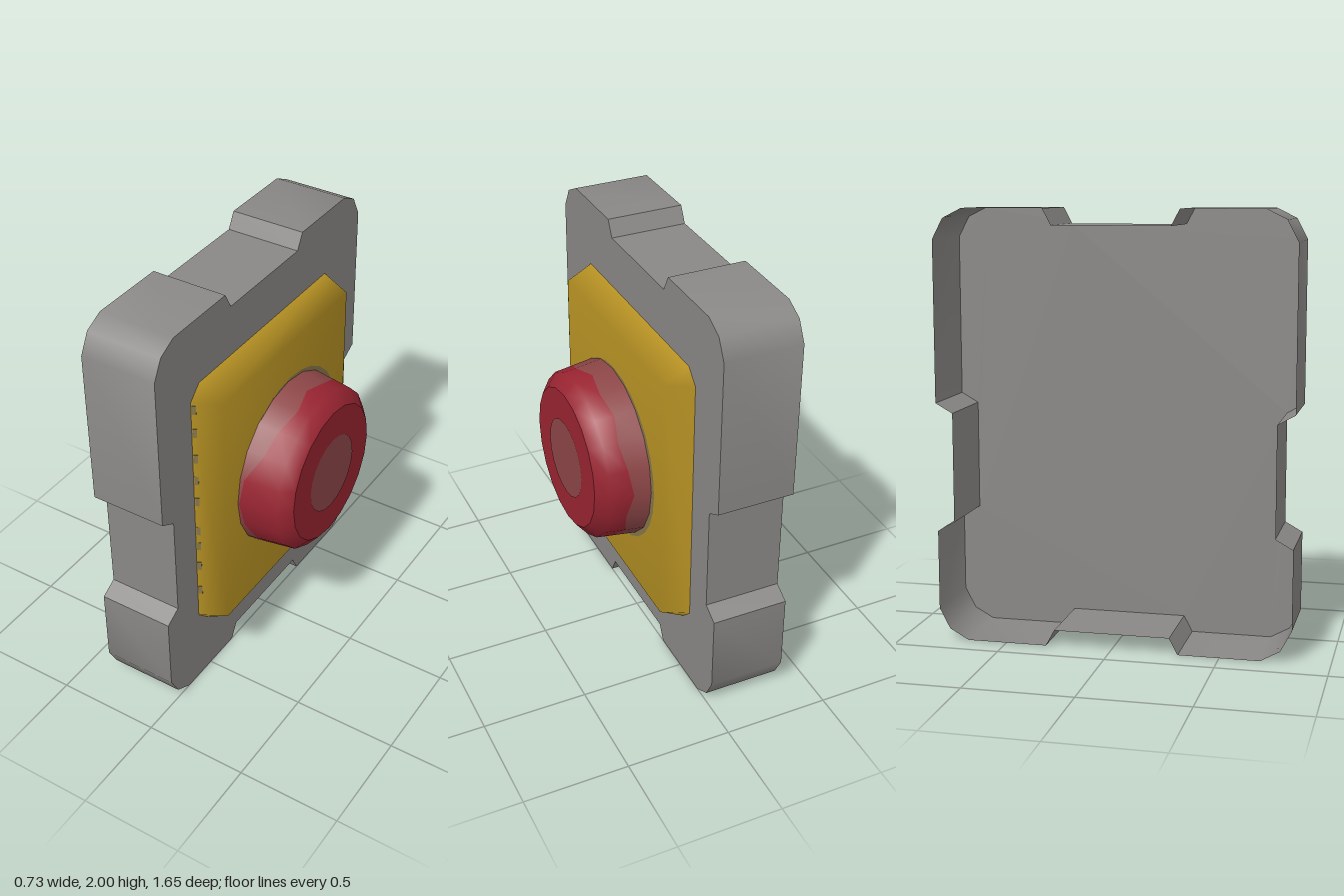
import * as THREE from 'three';
import { toCreasedNormals } from 'three/addons/utils/BufferGeometryUtils.js';

const mat = (name, color, side = THREE.FrontSide) => {
  const m = new THREE.MeshStandardMaterial({ color, side });
  m.name = name;
  return m;
};

function indexed(positions, index) {
  const g = new THREE.BufferGeometry();
  g.setAttribute('position', new THREE.Float32BufferAttribute(positions, 3));
  g.setIndex(index);
  g.computeVertexNormals();
  return g;
}

export function createModel() {
  const grey = mat('housing grey', 0x8a8886, THREE.DoubleSide);
  const yellow = mat('plate yellow', 0xb69123);
  const red = mat('button red', 0x982431);
  const faded = mat('worn red', 0x8d4647);
  const grime = mat('worn yellow', 0x85754a);

  // Built facing +z, turned to face +x at the end
  const model = new THREE.Group();
  model.name = 'pushButton';
  const add = (name, geometry, material, x = 0, y = 0, z = 0) => {
    const mesh = new THREE.Mesh(geometry, material);
    mesh.name = name;
    mesh.position.set(x, y, z);
    model.add(mesh);
    return mesh;
  };

  // Housing: notched outline, front face and open-backed walls
  const half = [
    [0.27, 1.925], [0.31, 2], [0.685, 2], [0.775, 1.955], [0.825, 1.86],
    [0.825, 1.115], [0.745, 1.07], [0.745, 0.56], [0.825, 0.515],
    [0.825, 0.145], [0.775, 0.05], [0.685, 0], [0.31, 0], [0.27, 0.075],
  ];
  const outline = [...half, ...half.map(([x, y]) => [-x, y]).reverse()].reverse();
  const face = new THREE.Shape(outline.map(([x, y]) => new THREE.Vector2(x, y)));
  add('housingFace', new THREE.ShapeGeometry(face), grey);
  const wallPos = [], wallIdx = [];
  const n = outline.length;
  outline.forEach(([x, y], i) => {
    const a = 2 * i, b = 2 * ((i + 1) % n);
    wallPos.push(x, y, -0.365, x, y, 0);
    wallIdx.push(a, b, b + 1, a, b + 1, a + 1);
  });
  add('housingWalls', toCreasedNormals(indexed(wallPos, wallIdx), 0.7), grey);

  // Plate: clipped-corner base tapering to a rectangle
  const base = [], top = [], plateIdx = [8, 9, 10, 8, 10, 11];
  [[1, 1], [-1, 1], [-1, -1], [1, -1]].forEach(([sx, sy], k) => {
    const pair = [[0.585 * sx, 0.615 * sy, 0], [0.52 * sx, 0.68 * sy, 0]];
    if (k % 2) pair.reverse();
    base.push(...pair.flat());
    top.push(0.52 * sx, 0.615 * sy, 0.12);
    const a = 2 * k, b = a + 1, c = (a + 2) % 8, t = 8 + k, u = 8 + (k + 1) % 4;
    plateIdx.push(a, b, t, b, c, u, b, u, t);
  });
  add('plate', indexed([...base, ...top], plateIdx), yellow, 0, 1.003, 0);

  // Wear on the plate: a stain round the button and chips along one edge
  add('plateStain', new THREE.CircleGeometry(0.43, 28), grime, 0.018, 1.003, 0.122);
  for (const y of [0.55, 0.7, 0.82, 0.91, 1.08, 1.2, 1.32, 1.46, 1.58]) {
    const chip = add('plateChip', new THREE.BoxGeometry(0.004, 0.045, 0.018), grime, -0.579, y, 0.012);
    chip.rotation.y = 0.496;
  }

  // Button wall: worn lower band with an uneven upper edge, then red
  const wear = [0.22, 0.25, 0.22, 0.2, 0.14, 0.125, 0.14, 0.17, 0.2, 0.2,
    0.2, 0.22, 0.24, 0.21, 0.23, 0.2, 0.22, 0.24, 0.22, 0.24];
  const sides = wear.length, pos = [], lower = [], upper = [];
  wear.forEach((w, i) => {
    const a = (i / sides) * Math.PI * 2;
    const slope = 0.42 - 0.025 * (w - 0.12) / 0.19;
    [[0.42, 0.12], [slope, w], [0.395, 0.31], [0.335, 0.36]].forEach(([r, z], k) => {
      pos.push(-r * Math.sin(a), r * Math.cos(a), z);
      if (k === 3) return;
      const p = 4 * i + k, q = 4 * ((i + 1) % sides) + k;
      (k ? upper : lower).push(p, q, q + 1, p, q + 1, p + 1);
    });
  });
  const wall = indexed(pos, [...lower, ...upper]);
  wall.addGroup(0, lower.length, 0);
  wall.addGroup(lower.length, upper.length, 1);
  add('buttonWall', wall, [faded, red], 0, 1.003, 0);

  // Button top with a worn centre
  const cap = new THREE.CircleGeometry(0.335, sides, Math.PI / 2);
  add('buttonTop', cap, red, 0, 1.003, 0.36);
  add('buttonWornCentre', new THREE.CircleGeometry(0.19, sides), faded, 0, 1, 0.363);

  model.rotation.y = Math.PI / 2;
  const root = new THREE.Group();
  root.name = 'wallButton';
  root.add(model);
  return root;
}
